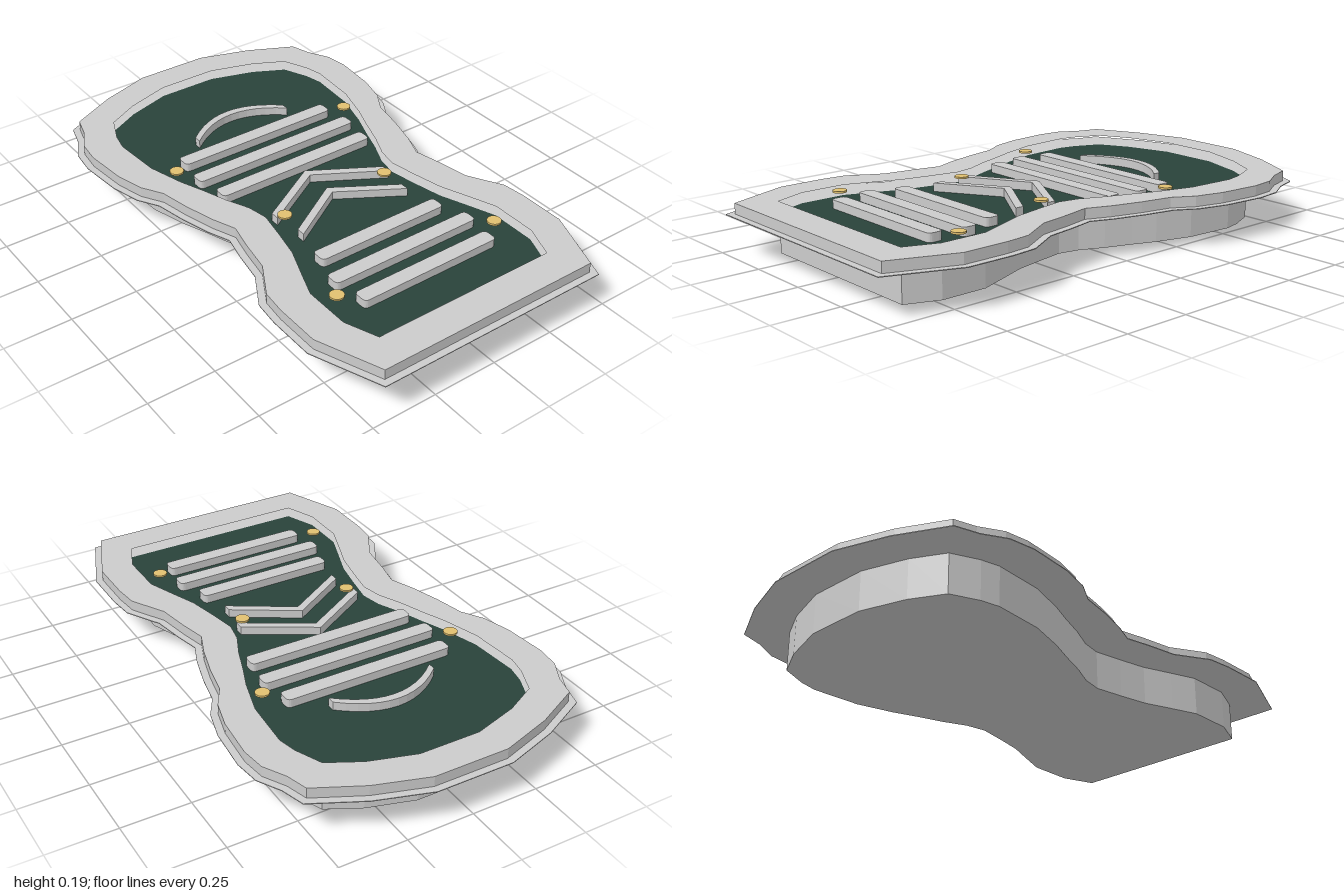
import * as THREE from 'three';

const grey = new THREE.MeshStandardMaterial({ color: 0xcccccc, flatShading: true });
const green = new THREE.MeshStandardMaterial({ color: 0x29423a, side: THREE.DoubleSide });
const gold = new THREE.MeshStandardMaterial({ color: 0xe0c070 });

// half outlines as [x, z], from back to front on the +x side
const outerHalf = [
  [0.145, -1], [0.347, -0.935], [0.532, -0.843], [0.557, -0.755], [0.603, -0.67],
  [0.615, -0.57], [0.6, -0.4], [0.57, -0.285], [0.523, -0.205], [0.5, -0.09],
  [0.467, 0.03], [0.434, 0.115], [0.455, 0.21], [0.475, 0.33], [0.548, 0.46],
  [0.558, 0.56], [0.558, 0.74], [0.457, 1],
];
const innerHalf = [
  [0.115, -0.855], [0.285, -0.803], [0.405, -0.74], [0.448, -0.64], [0.463, -0.57],
  [0.45, -0.38], [0.41, -0.24], [0.375, -0.15], [0.34, -0.05], [0.3, 0.04],
  [0.285, 0.12], [0.305, 0.23], [0.328, 0.34], [0.37, 0.45], [0.407, 0.55],
  [0.407, 0.725], [0.36, 0.847],
];

// closed outline mirrored about x = 0, in shape coordinates (y = -z)
function mirrorOutline(half) {
  const right = half.map(([x, z]) => new THREE.Vector2(x, -z));
  const left = right.map((p) => new THREE.Vector2(-p.x, p.y)).reverse();
  return [...right, ...left];
}

// move a clockwise outline inward by d with mitred corners
function inset(points, d) {
  const n = points.length;
  const normal = (a, b) => new THREE.Vector2(b.y - a.y, a.x - b.x).normalize();
  return points.map((p, i) => {
    const n1 = normal(points[(i + n - 1) % n], p);
    const n2 = normal(p, points[(i + 1) % n]);
    return n1.clone().add(n2).multiplyScalar(d / (1 + n1.dot(n2))).add(p);
  });
}

// upright slab from a plan shape
function slab(name, shape, y, height, material = grey) {
  const geo = new THREE.ExtrudeGeometry(shape, { depth: height, bevelEnabled: false, curveSegments: 5 });
  geo.rotateX(-Math.PI / 2);
  const mesh = new THREE.Mesh(geo, material);
  mesh.name = name;
  mesh.position.y = y;
  return mesh;
}

function barShape(halfX, z, halfZ = 0.029, r = 0.018) {
  const s = new THREE.Shape();
  const b = -z - halfZ, t = -z + halfZ;
  s.moveTo(-halfX + r, b);
  s.lineTo(halfX - r, b);
  s.quadraticCurveTo(halfX, b, halfX, b + r);
  s.lineTo(halfX, t - r);
  s.quadraticCurveTo(halfX, t, halfX - r, t);
  s.lineTo(-halfX + r, t);
  s.quadraticCurveTo(-halfX, t, -halfX, t - r);
  s.lineTo(-halfX, b + r);
  s.quadraticCurveTo(-halfX, b, -halfX + r, b);
  return s;
}

// band of constant depth in z below a line of [x, z] points
function bandShape(line, depth) {
  const back = line.map(([x, z]) => new THREE.Vector2(x, -z));
  const front = line.map(([x, z]) => new THREE.Vector2(x, -z - depth)).reverse();
  return new THREE.Shape([...back, ...front]);
}

export function createModel() {
  const model = new THREE.Group();
  const outer = mirrorOutline(outerHalf);
  const inner = mirrorOutline(innerHalf);
  const deck = 0.148;

  // lower block, thin flange and raised rim
  model.add(slab('body', new THREE.Shape(inner), 0, deck));
  const flange = new THREE.Shape(outer);
  flange.holes.push(new THREE.Path(inner));
  model.add(slab('flange', flange, deck - 0.002, 0.003));
  const rim = new THREE.Shape(inset(outer, 0.026));
  rim.holes.push(new THREE.Path(inner));
  model.add(slab('rim', rim, deck, 0.04));

  // coloured floor inside the rim
  const floor = new THREE.Mesh(new THREE.ShapeGeometry(new THREE.Shape(inner)), green);
  floor.name = 'floor';
  floor.rotation.x = -Math.PI / 2;
  floor.position.y = deck + 0.002;
  model.add(floor);

  // cross bars
  const treads = new THREE.Group();
  treads.name = 'treads';
  const bars = [[0.33, -0.357], [0.348, -0.231], [0.33, -0.105], [0.266, 0.4], [0.304, 0.527], [0.285, 0.653]];
  for (const [halfX, z] of bars) treads.add(slab('crossBar', barShape(halfX, z), deck, 0.034));

  // chevrons and curved band
  for (const [halfX, apexZ, endZ] of [[0.25, -0.04, 0.108], [0.232, 0.095, 0.238]]) {
    const line = [[-halfX, endZ], [0, apexZ], [halfX, endZ]];
    treads.add(slab('chevron', bandShape(line, 0.034), deck, 0.034));
  }
  const arc = new THREE.QuadraticBezierCurve(
    new THREE.Vector2(-0.204, -0.468), new THREE.Vector2(0, -0.65), new THREE.Vector2(0.204, -0.468));
  const arcLine = arc.getPoints(12).map((p) => [p.x, p.y]);
  treads.add(slab('curvedBand', bandShape(arcLine, 0.029), deck, 0.034));
  model.add(treads);

  // thin studs in mirrored pairs
  const studGeo = new THREE.CylinderGeometry(0.026, 0.026, 0.007, 20);
  for (const [x, z] of [[0.385, -0.308], [0.223, 0.148], [0.343, 0.607]]) {
    for (const side of [-1, 1]) {
      const stud = new THREE.Mesh(studGeo, gold);
      stud.name = side > 0 ? 'leftStud' : 'rightStud';
      stud.position.set(side * x, 0.1875, z);
      model.add(stud);
    }
  }
  return model;
}
